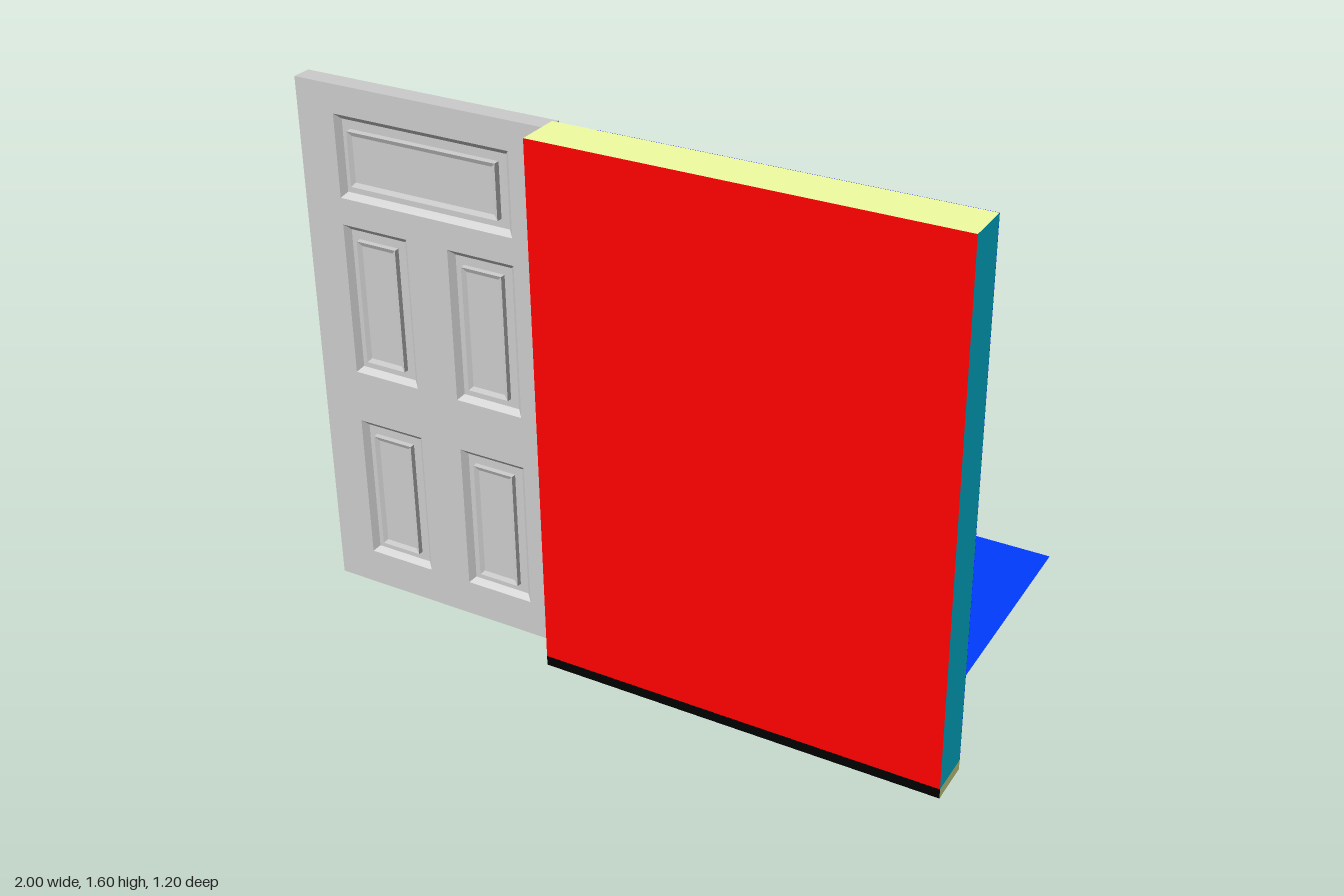
import * as THREE from 'three';

const paint = (color) => new THREE.MeshStandardMaterial({ color });
const sheetPaint = (color) => new THREE.MeshStandardMaterial({ color, side: THREE.DoubleSide });
const grey = new THREE.MeshStandardMaterial({ color: 0xcccccc, flatShading: true, side: THREE.DoubleSide });

// Moulded panel: nested rectangles, each inset and sunk by the profile [inset, depth]
const PROFILE = [[0, 0], [0.016, 0.015], [0.041, 0.015], [0.042, 0], [0.055, 0.006]];
// The top panel's moulding stands slightly proud of the door
const TOP_PROFILE = PROFILE.map(([inset, depth]) => [inset, inset > 0.0415 ? depth - 0.003 : depth]);

function panelGeometry(w, h, profile) {
  const pos = [];
  const corners = ([inset, depth]) => {
    const x = w / 2 - inset, y = h / 2 - inset;
    return [[-x, -y, -depth], [x, -y, -depth], [x, y, -depth], [-x, y, -depth]];
  };
  const quad = (a, b, c, d) => pos.push(...a, ...b, ...c, ...a, ...c, ...d);
  for (let i = 0; i + 1 < profile.length; i++) {
    const o = corners(profile[i]), n = corners(profile[i + 1]);
    for (let k = 0; k < 4; k++) {
      const m = (k + 1) % 4;
      quad(o[k], o[m], n[m], n[k]);
    }
  }
  quad(...corners(profile[profile.length - 1]));
  const g = new THREE.BufferGeometry();
  g.setAttribute('position', new THREE.Float32BufferAttribute(pos, 3));
  g.computeVertexNormals();
  return g;
}

function rectPath(path, x0, y0, x1, y1) {
  path.moveTo(x0, y0);
  path.lineTo(x1, y0);
  path.lineTo(x1, y1);
  path.lineTo(x0, y1);
  path.closePath();
  return path;
}

function makeDoor() {
  const door = new THREE.Group();
  door.name = 'door';
  const w = 0.8, h = 1.59, thick = 0.059;
  door.position.set(-0.6, 0, 0.4655);

  // One wide panel on top, two rows of paired panels below, about the door's middle
  const panels = [[-0.28, 1.26, 0.28, 1.505]];
  for (const [y0, y1] of [[0.72, 1.18], [0.11, 0.56]]) {
    panels.push([-0.28, y0, -0.067, y1], [0.067, y0, 0.28, y1]);
  }
  const shape = rectPath(new THREE.Shape(), -w / 2, 0, w / 2, h);
  for (const p of panels) shape.holes.push(rectPath(new THREE.Path(), ...p));
  const faceGeometry = new THREE.ShapeGeometry(shape);

  // The same panelled face on the front and, turned round, on the back
  for (const name of ['doorFront', 'doorBack']) {
    const side = new THREE.Group();
    side.name = name;
    if (name === 'doorBack') side.rotation.y = Math.PI;
    const face = new THREE.Mesh(faceGeometry, grey);
    face.name = 'doorFace';
    face.position.z = thick / 2;
    side.add(face);
    panels.forEach(([x0, y0, x1, y1], i) => {
      const profile = i === 0 ? TOP_PROFILE : PROFILE;
      const panel = new THREE.Mesh(panelGeometry(x1 - x0, y1 - y0, profile), grey);
      panel.name = 'doorPanel';
      panel.position.set((x0 + x1) / 2, (y0 + y1) / 2, thick / 2);
      side.add(panel);
    });
    door.add(side);
  }

  // Narrow edges all round: [length, x, y, rotation axis, angle]
  for (const s of [-1, 1]) {
    const upright = new THREE.Mesh(new THREE.PlaneGeometry(thick, h), grey);
    upright.name = 'doorSideEdge';
    upright.rotation.y = s * Math.PI / 2;
    upright.position.set(s * w / 2, h / 2, 0);
    const level = new THREE.Mesh(new THREE.PlaneGeometry(w, thick), grey);
    level.name = s > 0 ? 'doorTopEdge' : 'doorBottomEdge';
    level.rotation.x = -s * Math.PI / 2;
    level.position.y = s > 0 ? h : 0;
    door.add(upright, level);
  }
  return door;
}

export function createModel() {
  const model = new THREE.Group();
  const red = paint(0xff0000), cyan = paint(0x00daff), lime = paint(0xf2ffa0), black = paint(0x000000);
  const zBack = 0.467;

  const add = (name, geometry, material, x, y, z) => {
    const mesh = new THREE.Mesh(geometry, material);
    mesh.name = name;
    mesh.position.set(x, y, z);
    model.add(mesh);
    return mesh;
  };

  model.add(makeDoor());

  // Wall slab on a black-faced base; box materials in order +x, -x, +y, -y, +z, -z
  const depth = 0.6 - zBack, zMid = (0.6 + zBack) / 2;
  add('wall', new THREE.BoxGeometry(1.2, 1.57, depth), [cyan, red, lime, lime, red, red], 0.4, 0.815, zMid);
  add('wallBase', new THREE.BoxGeometry(1.2, 0.03, depth), [lime, lime, lime, lime, black, black], 0.4, 0.015, zMid);

  // Blue sheet over the wall's back, leaving a red strip beside the door
  const backing = add('wallBacking', new THREE.PlaneGeometry(1.07, 1.57), sheetPaint(0x1000ff),
    0.465, 0.815, zBack - 0.001);
  backing.rotation.y = Math.PI;

  // Blue floor sheet with a cyan strip under its edge
  const zFloor = (zBack - 0.6) / 2, floorDepth = zBack + 0.6;
  const floor = add('floor', new THREE.PlaneGeometry(1.065, floorDepth), sheetPaint(0x003cff), 0.3325, 0.003, zFloor);
  floor.rotation.x = -Math.PI / 2;
  const strip = add('floorStrip', new THREE.PlaneGeometry(0.13, floorDepth), sheetPaint(0x00daff), -0.135, 0.001, zFloor);
  strip.rotation.x = Math.PI / 2;

  return model;
}
